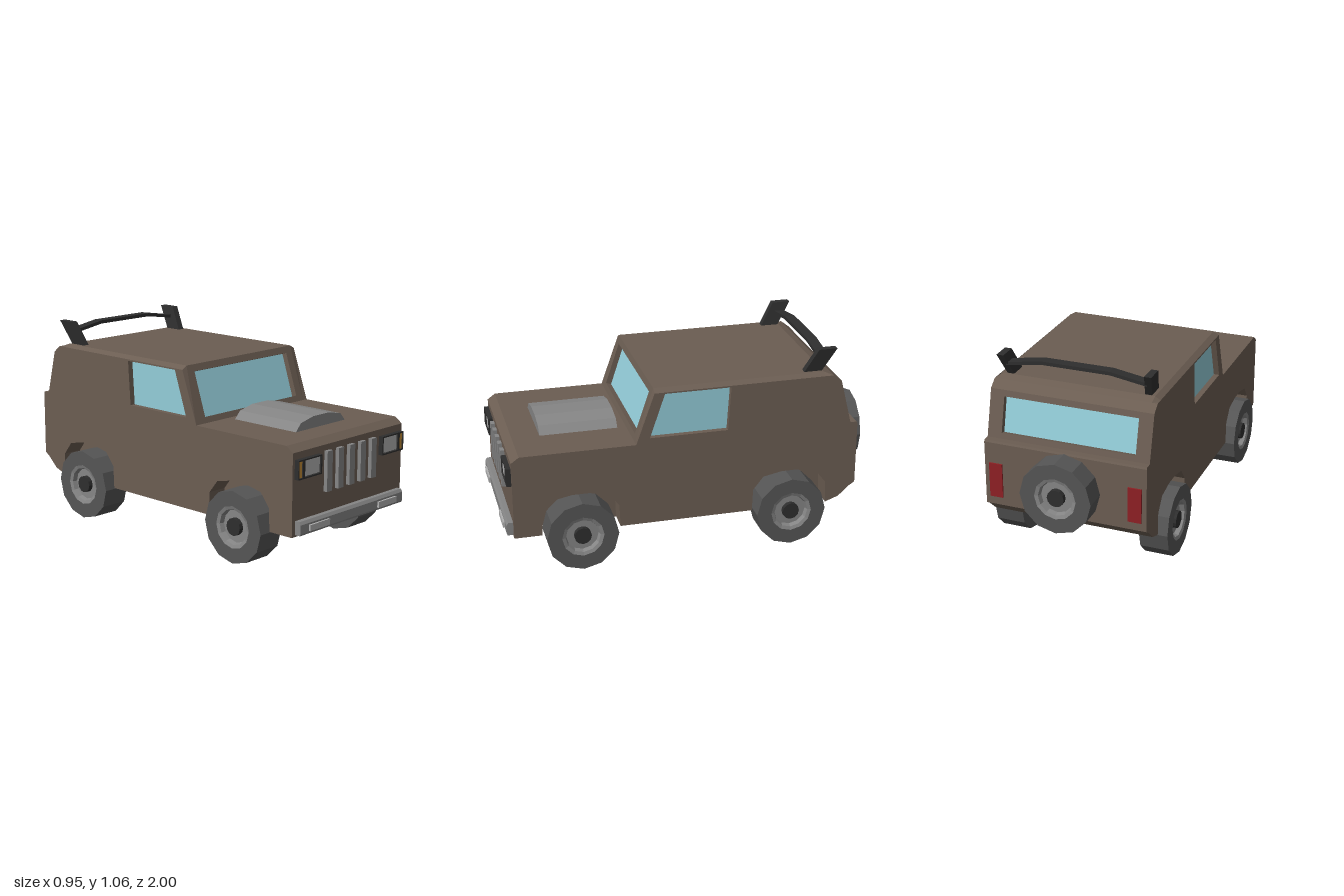
import * as THREE from 'three';

const mat = (color) => new THREE.MeshStandardMaterial({ color, flatShading: true });
const paint = mat(0x6b5d52), glass = mat(0x93ccd8), black = mat(0x2e2e2e), rubber = mat(0x555555);
const metal = mat(0x858585), lamp = mat(0xb0b0b0), amber = mat(0xc08a35), red = mat(0x8e2024);

const toShape = (pts) => new THREE.Shape(pts.map(([a, b]) => new THREE.Vector2(a, b)));

function add(parent, name, geometry, material, x = 0, y = 0, z = 0) {
  const mesh = new THREE.Mesh(geometry, material);
  mesh.name = name;
  mesh.position.set(x, y, z);
  parent.add(mesh);
  return mesh;
}

// Box given by its limits on each axis
function block(parent, name, material, [x0, x1], [y0, y1], [z0, z1]) {
  return add(parent, name, new THREE.BoxGeometry(x1 - x0, y1 - y0, z1 - z0), material,
    (x0 + x1) / 2, (y0 + y1) / 2, (z0 + z1) / 2);
}

// Side profile of [z, y] points, extruded across from x0 to x1
function acrossX(pts, x0, x1, hole) {
  const shape = toShape(pts);
  if (hole) shape.holes.push(toShape(hole));
  return new THREE.ExtrudeGeometry(shape, { depth: x1 - x0, bevelEnabled: false })
    .rotateY(-Math.PI / 2).translate(x1, 0, 0);
}

// Sloping window frame standing on [z, y] point a and leaning to point b
function windowFrame(parent, name, a, b, lo, hi, dir) {
  const length = Math.hypot(b[0] - a[0], b[1] - a[1]), w = 0.355, t = 0.03;
  const shape = toShape([[-0.4, 0], [0.4, 0], [0.4, length], [-0.4, length]]);
  shape.holes.push(toShape([[-w, lo], [-w, hi], [w, hi], [w, lo]]));
  const right = new THREE.Vector3(dir, 0, 0);
  const up = new THREE.Vector3(0, b[1] - a[1], b[0] - a[0]).normalize();
  const out = new THREE.Vector3().crossVectors(right, up);
  const geometry = new THREE.ExtrudeGeometry(shape, { depth: t, bevelEnabled: false })
    .translate(0, 0, -t)
    .applyMatrix4(new THREE.Matrix4().makeBasis(right, up, out));
  add(parent, name, geometry, paint, 0, a[1], a[0]);
}

// Wheel on the x axis with its outer face toward +x
function wheel(name, width) {
  const g = new THREE.Group(), h = width / 2, r = 0.188;
  g.name = name;
  const lathe = (pts, n) => new THREE.LatheGeometry(pts.map(([a, b]) => new THREE.Vector2(a, b)), n)
    .rotateZ(-Math.PI / 2);
  add(g, 'tyre', lathe([[0, -h], [r, -h], [r, h], [0.11, h]], 12), rubber);
  add(g, 'rim', lathe([[0.11, h], [0.092, h - 0.006], [0.085, h - 0.03], [0, h - 0.03]], 12), metal);
  add(g, 'hub', new THREE.CylinderGeometry(0.045, 0.045, 0.025, 12).rotateZ(Math.PI / 2), black, h - 0.0175);
  return g;
}

export function createModel() {
  const model = new THREE.Group();
  model.name = 'offRoadCar';
  const frontAxle = 0.607, rearAxle = -0.513;

  // Profiles as [z, y], running from the front bottom over the top to the rear bottom
  const front = [[0.955, 0.2], [0.955, 0.62], [0.914, 0.65]];
  const cabin = [[0.314, 0.65], [0.217, 0.94], [-0.69, 0.94], [-0.735, 0.925], [-0.78, 0.89], [-0.84, 0.65]];
  const rear = [[-0.875, 0.65], [-0.88, 0.64], [-0.88, 0.3], [-0.85, 0.28], [-0.79, 0.225], [-0.72, 0.2]];
  const arch = (z) => [[-0.205, 0.2], [-0.2, 0.32], [-0.145, 0.39], [-0.045, 0.41],
    [0.045, 0.41], [0.145, 0.39], [0.2, 0.32], [0.205, 0.2]].map(([a, y]) => [z + a, y]);
  const arches = [...arch(rearAxle), ...arch(frontAxle)];
  const sideWindow = [[0.243, 0.68], [0.163, 0.915], [-0.185, 0.915], [-0.17, 0.68]];

  // Body core, wheel wells and outer side panels
  add(model, 'bodyCore', acrossX([...front, ...rear], -0.32, 0.32), paint);
  for (const [side, s] of [['left', 1], ['right', -1]]) {
    const span = (a, b) => (s > 0 ? [a, b] : [-b, -a]);
    add(model, side + 'WheelWells', acrossX([...front, ...rear, ...arches], ...span(0.32, 0.4)), paint);
    const panel = acrossX([...front, ...cabin, ...rear, ...arches], ...span(0.4, 0.43), sideWindow);
    // Bevel along the roof edge
    const p = panel.attributes.position;
    for (let i = 0; i < p.count; i++) {
      if (Math.abs(p.getX(i)) > 0.42 && p.getY(i) > 0.935) p.setY(i, 0.922);
    }
    panel.computeVertexNormals();
    add(model, side + 'SidePanel', panel, paint);
  }

  // Cabin: glass block behind the frames, and the roof
  add(model, 'windows', acrossX([[0.282, 0.65], [0.195, 0.915], [-0.69, 0.91], [-0.755, 0.875], [-0.808, 0.65]],
    -0.4, 0.4), glass);
  add(model, 'roof', acrossX([...cabin.slice(1, 5), [-0.745, 0.88], [-0.69, 0.91], [0.2, 0.91]], -0.4, 0.4), paint);
  windowFrame(model, 'windscreenFrame', cabin[0], cabin[1], 0.032, 0.27, 1);
  windowFrame(model, 'rearWindowFrame', cabin[5], cabin[4], 0.03, 0.215, -1);

  // Bonnet scoop
  const scoop = toShape([[-0.197, 0.645], [0.197, 0.645], [0.155, 0.69], [0.06, 0.71], [-0.06, 0.71], [-0.155, 0.69]]);
  add(model, 'bonnetScoop', new THREE.ExtrudeGeometry(scoop, { depth: 0.41, bevelEnabled: false }), metal, 0, 0, 0.36);

  // Grille bars
  for (let i = -2; i <= 2; i++) {
    const x = i * 0.0875;
    block(model, 'grilleBar', metal, [x - 0.02, x + 0.02], [0.385, 0.59], [0.95, 0.976]);
  }

  // Front bumper
  add(model, 'frontBumper', acrossX([[0.95, 0.21], [0.985, 0.21], [0.99, 0.22], [0.99, 0.265], [0.98, 0.28], [0.95, 0.28]],
    -0.406, 0.406), metal);

  // Lights on both sides
  for (const s of [1, -1]) {
    const span = (a, b) => (s > 0 ? [a, b] : [-b, -a]);
    // Open housing around the lamps
    block(model, 'headlightBack', black, span(0.24, 0.415), [0.488, 0.585], [0.95, 0.968]);
    for (const y of [0.488, 0.578]) block(model, 'headlightRim', black, span(0.24, 0.415), [y, y + 0.007], [0.95, 0.98]);
    for (const [a, b] of [[0.24, 0.248], [0.367, 0.383], [0.409, 0.415]]) {
      block(model, 'headlightRim', black, span(a, b), [0.495, 0.578], [0.95, 0.98]);
    }
    block(model, 'headlight', lamp, span(0.252, 0.364), [0.498, 0.576], [0.96, 0.974]);
    block(model, 'turnSignal', amber, span(0.383, 0.409), [0.495, 0.578], [0.96, 0.974]);
    block(model, 'bumperLight', lamp, span(0.195, 0.345), [0.225, 0.256], [0.98, 1]);
    block(model, 'tailLight', red, span(0.335, 0.405), [0.345, 0.53], [-0.888, -0.87]);
  }

  // Roof bar: leaning posts that also splay outward, joined by a bent rail
  for (const s of [1, -1]) {
    const post = acrossX([[-0.587, 0.935], [-0.66, 1.063], [-0.758, 1.063], [-0.682, 0.935]], -0.018, 0.018);
    const p = post.attributes.position;
    for (let i = 0; i < p.count; i++) p.setX(i, p.getX(i) + s * (0.364 + (p.getY(i) - 0.935) * 0.17));
    post.computeVertexNormals();
    add(model, 'roofBarPost', post, black);
  }
  const rail = toShape([[-0.37, 0.998], [-0.18, 1.028], [0.18, 1.028], [0.37, 0.998],
    [0.37, 1.015], [0.18, 1.046], [-0.18, 1.046], [-0.37, 1.015]]);
  add(model, 'roofBarRail', new THREE.ExtrudeGeometry(rail, { depth: 0.055, bevelEnabled: false }), black, 0, 0, -0.724);

  // Road wheels and the spare on the back
  for (const [place, z] of [['front', frontAxle], ['rear', rearAxle]]) {
    for (const [side, s] of [['Left', 1], ['Right', -1]]) {
      const w = wheel(place + side + 'Wheel', 0.153);
      w.position.set(s * 0.3985, 0.188, z);
      if (s < 0) w.rotation.y = Math.PI;
      model.add(w);
    }
  }
  const spare = wheel('spareWheel', 0.125);
  spare.position.set(0, 0.458, -0.9375);
  spare.rotation.y = Math.PI / 2;
  model.add(spare);

  return model;
}
